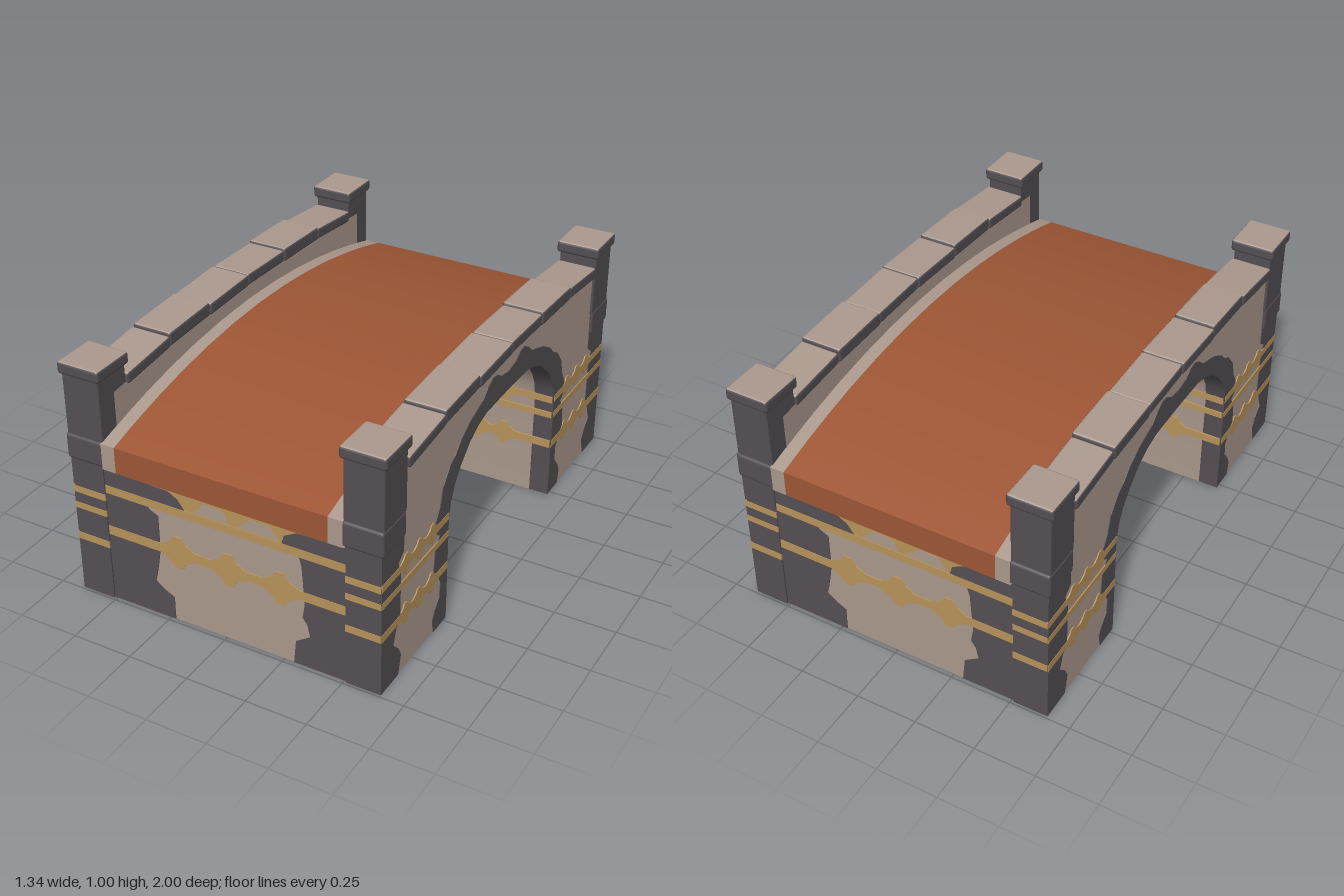
import * as THREE from 'three';
import { toCreasedNormals } from 'three/addons/utils/BufferGeometryUtils.js';
import { RoundedBoxGeometry } from 'three/addons/geometries/RoundedBoxGeometry.js';

const material = (name, color) => new THREE.MeshStandardMaterial({ name, color, side: THREE.DoubleSide });

export function createModel() {
  const stone = material('pale stone', 0xab998d);
  const dark = material('dark stone', 0x544f53);
  const gold = material('gold trim', 0xb8935a);
  const clay = material('clay deck', 0x9e5635);
  const model = new THREE.Group();
  model.name = 'archBridge';

  const add = (parent, name, geometry, mat, x = 0, y = 0, z = 0) => {
    const mesh = new THREE.Mesh(geometry, mat);
    mesh.name = name;
    mesh.position.set(x, y, z);
    parent.add(mesh);
    return mesh;
  };
  const toShape = (pts) => new THREE.Shape(pts.map(([x, y]) => new THREE.Vector2(x, y)));
  const mirror = (pts) => pts.map(([x, y]) => [-x, y]);
  const rect = (x0, x1, y0, y1) => [[x0, y0], [x1, y0], [x1, y1], [x0, y1]];

  // Thin painted plate, centred on its wall so it shows on both sides
  const plate = (parent, name, pts, mat, layer) => {
    const depth = 0.003 * layer;
    const g = new THREE.ExtrudeGeometry(toShape(pts), { depth, bevelEnabled: false });
    return add(parent, name, g.translate(0, 0, -depth / 2), mat);
  };

  // Band with diamond swellings
  const lobed = (x0, x1, y0, y1, centres, r) => {
    const lower = [[x0, y0]], upper = [[x0, y1]];
    for (const c of centres) {
      for (const [dx, dy] of [[-1.5, 0], [-0.7, 0.45], [-0.35, 1], [0.35, 1], [0.7, 0.45], [1.5, 0]]) {
        lower.push([c + dx * r, y0 - dy * r]);
        upper.push([c + dx * r, y1 + dy * r]);
      }
    }
    lower.push([x1, y0]);
    upper.push([x1, y1]);
    return [...lower, ...upper.reverse()];
  };

  // Sheet swept along x from a path of [z, y] points
  const sheet = (path, x0, x1) => {
    const pos = [], index = [];
    path.forEach(([z, y], i) => {
      pos.push(x0, y, z, x1, y, z);
      if (i) index.push(2 * i - 2, 2 * i - 1, 2 * i, 2 * i, 2 * i - 1, 2 * i + 1);
    });
    const g = new THREE.BufferGeometry();
    g.setAttribute('position', new THREE.Float32BufferAttribute(pos, 3));
    g.setIndex(index);
    g.computeVertexNormals();
    return toCreasedNormals(g, 0.6);
  };

  // Arch opening profile
  const archHalf = [[0.478, 0], [0.478, 0.45], [0.465, 0.52], [0.435, 0.58], [0.39, 0.635],
    [0.32, 0.695], [0.25, 0.73], [0.18, 0.747], [0, 0.75]];
  const arch = [...archHalf, ...mirror(archHalf.slice(0, -1)).reverse()];

  // Arch underside: pale vault with dark ribs at the edges and middle
  const ribs = [-0.65, -0.57, -0.08, 0.08, 0.57, 0.65];
  for (let i = 0; i < 5; i++) {
    add(model, i % 2 ? 'vault' : 'vaultRib', sheet(arch, ribs[i], ribs[i + 1]), i % 2 ? stone : dark);
  }
  for (const s of [-1, 1]) {
    const wall = new THREE.Group();
    wall.name = 'vaultTrim';
    wall.position.z = s * 0.475;
    model.add(wall);
    const lobes = [-0.44, -0.325, -0.21, 0.21, 0.325, 0.44];
    plate(wall, 'vaultBandTop', lobed(-0.649, 0.649, 0.445, 0.475, lobes, 0.035), gold, 3);
    plate(wall, 'vaultBandMiddle', rect(-0.649, 0.649, 0.375, 0.4), gold, 3);
    plate(wall, 'vaultBandLow', lobed(-0.649, 0.649, 0.232, 0.265, lobes, 0.035), gold, 3);
    add(model, 'crownBand', sheet([[s * 0.17, 0.744], [s * 0.13, 0.745]], -0.57, 0.57), gold);
  }

  // Deck surface with end faces, and its pale kerbs
  const deckPath = [[0.975, 0.592], [0.997, 0.592]];
  for (let i = 0; i <= 16; i++) {
    const z = Math.cos((i / 16) * Math.PI) * 0.997;
    deckPath.push([z, 0.7 + 0.145 * (1 - z * z)]);
  }
  deckPath.push([-0.997, 0.592], [-0.975, 0.592]);
  add(model, 'deck', sheet(deckPath, -0.445, 0.445), clay);
  for (const s of [-1, 1]) add(model, 'kerb', sheet(deckPath, s * 0.445, s * 0.505), stone);

  // Side walls and parapets
  const ringHalf = [[0.58, 0], [0.59, 0.06], [0.57, 0.1], [0.535, 0.14], [0.53, 0.2], [0.55, 0.235],
    [0.59, 0.27], [0.58, 0.38], [0.55, 0.42], [0.59, 0.45], [0.58, 0.5], [0.55, 0.55], [0.53, 0.62],
    [0.48, 0.68], [0.44, 0.7], [0.4, 0.74], [0.33, 0.78], [0.27, 0.8], [0.22, 0.815], [0.18, 0.85],
    [0.14, 0.87], [0.1, 0.865], [0.06, 0.84], [0, 0.83]];
  const ring = [...ringHalf, ...mirror(ringHalf.slice(0, -1)).reverse(), ...[...arch].reverse()];
  const quoin = [[0.99, 0], [0.86, 0], [0.84, 0.08], [0.86, 0.12], [0.9, 0.16], [0.88, 0.22], [0.85, 0.24],
    [0.85, 0.44], [0.87, 0.5], [0.83, 0.53], [0.83, 0.62], [0.99, 0.62]];
  const topHalf = [[0.9, 0.87], [0.55, 0.9], [0.28, 0.915]];
  const wallTop = [...topHalf, [0, 0.92], ...mirror(topHalf).reverse()];
  const wallOutline = [[0.99, 0], [0.99, 0.65], [0.9, 0.65], ...wallTop, [-0.9, 0.65], [-0.99, 0.65],
    [-0.99, 0], ...[...arch].reverse()];

  for (const s of [-1, 1]) {
    const side = new THREE.Group();
    side.name = 'sideWall';
    side.position.x = s * 0.65;
    side.rotation.y = -Math.PI / 2;
    model.add(side);
    add(side, 'wallFace', new THREE.ShapeGeometry(toShape(wallOutline)), stone);
    plate(side, 'archRing', ring, dark, 2);
    const parapet = add(side, 'parapetInside',
      new THREE.ShapeGeometry(toShape([[0.9, 0.6], ...wallTop, [-0.9, 0.6]])), stone);
    parapet.position.z = s * 0.15;
    const lobes = [0.61, 0.71, 0.81];
    const trims = [
      ['quoin', quoin, dark, 2],
      ['bandTop', lobed(0.48, 0.99, 0.45, 0.48, lobes, 0.027), gold, 3],
      ['bandMiddle', rect(0.48, 0.99, 0.375, 0.402), gold, 3],
      ['bandLow', lobed(0.48, 0.99, 0.232, 0.265, lobes, 0.027), gold, 3],
    ];
    for (const [name, pts, mat, layer] of trims) {
      plate(side, name, pts, mat, layer);
      plate(side, name, mirror(pts), mat, layer);
    }

    // Coping blocks: dark sides, pale tops
    const heights = [0.05, 0.06, 0.052, 0.052, 0.06, 0.05];
    for (let i = 0; i < 6; i++) {
      const z = (i - 2.5) * 0.274;
      const w = 0.17 + 0.006 * (i % 2);
      const g = new RoundedBoxGeometry(w, heights[i], 0.276, 2, 0.012);
      const block = add(model, 'copingBlock', g, [dark, dark, stone, dark, dark, dark],
        s * 0.579, 0.929 - 0.06 * z * z + (heights[i] - 0.052) / 2, z);
      block.rotation.x = 0.12 * z + (i % 2 ? 0.015 : -0.01);
    }
  }

  // End walls with painted stonework
  const darkLeft = [[-0.51, 0], [-0.23, 0], [-0.23, 0.1], [-0.27, 0.12], [-0.31, 0.15], [-0.3, 0.19],
    [-0.29, 0.24], [-0.28, 0.3], [-0.28, 0.45], [-0.32, 0.47], [-0.33, 0.515], [-0.16, 0.515],
    [-0.19, 0.555], [-0.23, 0.577], [-0.51, 0.582]];
  const darkRight = [[0.51, 0], [0.29, 0], [0.3, 0.1], [0.36, 0.14], [0.35, 0.19], [0.33, 0.22],
    [0.34, 0.28], [0.33, 0.44], [0.32, 0.48], [0.32, 0.515], [0.25, 0.515], [0.26, 0.55],
    [0.31, 0.577], [0.51, 0.582]];
  for (const turn of [0, Math.PI]) {
    const end = new THREE.Group();
    end.name = 'bridgeEnd';
    end.rotation.y = turn;
    model.add(end);
    const face = new THREE.Group();
    face.name = 'endWall';
    face.position.z = 0.98;
    end.add(face);
    add(face, 'endFace', new THREE.ShapeGeometry(toShape(rect(-0.52, 0.52, 0, 0.6))), stone);
    plate(face, 'quoinLeft', darkLeft, dark, 2);
    plate(face, 'quoinRight', darkRight, dark, 2);
    plate(face, 'cornice', rect(-0.31, 0.31, 0.515, 0.598), gold, 1);
    plate(face, 'scallopLeft', [[-0.13, 0.518], [0.03, 0.518], [0.02, 0.55], [-0.01, 0.568], [-0.08, 0.568], [-0.1, 0.54]], stone, 2);
    plate(face, 'scallopRight', [[0.06, 0.518], [0.24, 0.518], [0.22, 0.54], [0.2, 0.568], [0.12, 0.568], [0.09, 0.54]], stone, 2);
    plate(face, 'bandTop', rect(-0.51, 0.51, 0.48, 0.515), gold, 3);
    plate(face, 'bandLow', lobed(-0.51, 0.51, 0.295, 0.335, [-0.2, 0.02, 0.24], 0.05), gold, 3);

    // Corner pillars
    for (const s of [-1, 1]) {
      const pillar = new THREE.Group();
      pillar.name = 'pillar';
      pillar.position.x = s * 0.58;
      end.add(pillar);
      add(pillar, 'pillarBase', new THREE.BoxGeometry(0.14, 0.62, 0.014), dark, 0, 0.31, 0.983);
      for (const [y, h] of [[0.46, 0.028], [0.388, 0.026], [0.248, 0.03]]) {
        add(pillar, 'pillarBand', new THREE.BoxGeometry(0.142, h, 0.006), gold, 0, y, 0.989);
      }
      add(pillar, 'pillarCollar', new RoundedBoxGeometry(0.163, 0.105, 0.172, 2, 0.012), dark, 0, 0.65, 0.913);
      add(pillar, 'pillarShaft', new RoundedBoxGeometry(0.158, 0.27, 0.168, 2, 0.008), dark, 0, 0.828, 0.906);
      add(pillar, 'pillarCap', new RoundedBoxGeometry(0.182, 0.05, 0.19, 2, 0.012),
        [dark, dark, stone, dark, dark, dark], 0, 0.975, 0.905);
    }
  }
  return model;
}
